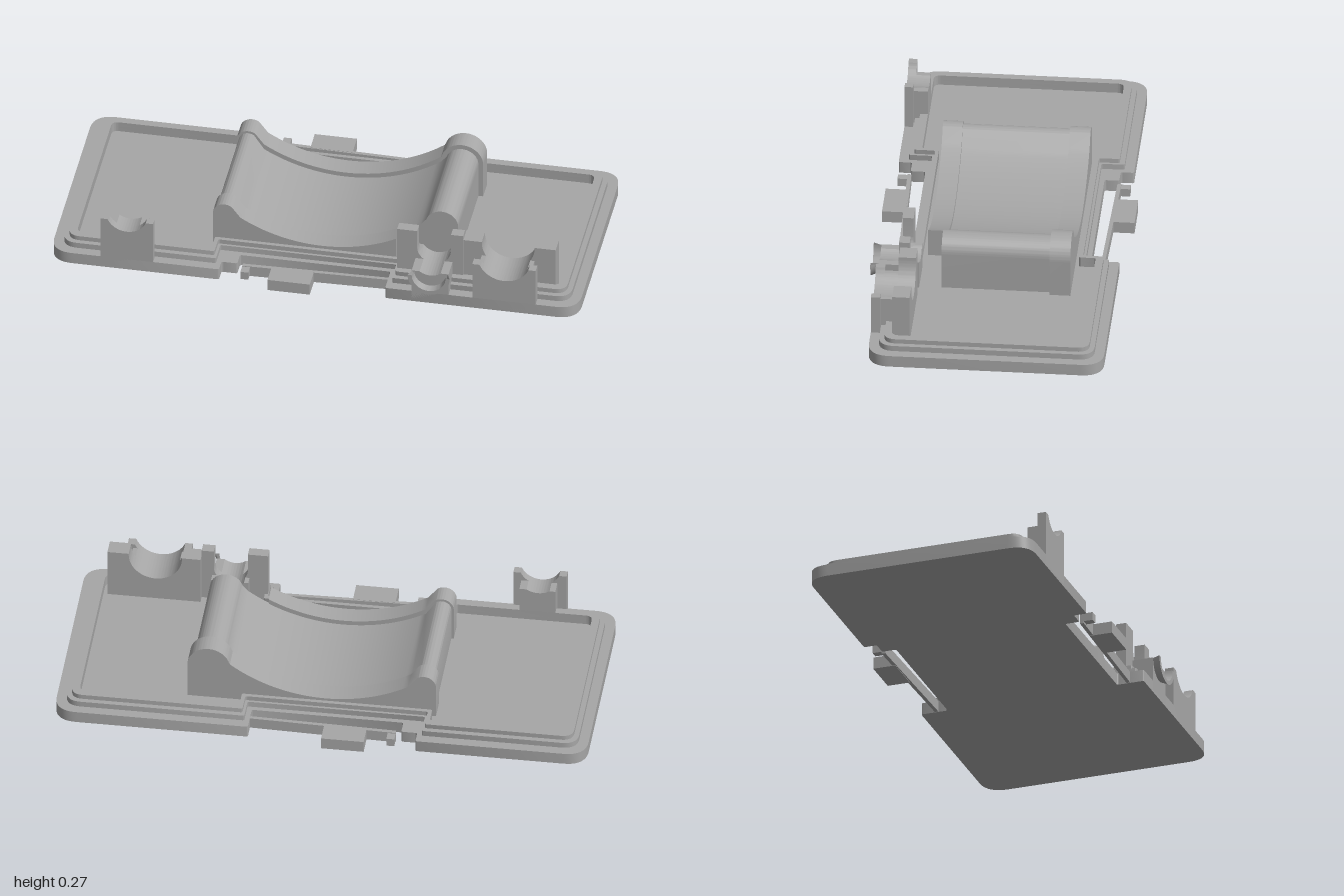
import * as THREE from 'three';
import { toCreasedNormals } from 'three/addons/utils/BufferGeometryUtils.js';

const grey = new THREE.MeshStandardMaterial({ color: 0xa6a6a6, side: THREE.DoubleSide });
grey.name = 'plain grey';

function add(group, name, geometry) {
  const mesh = new THREE.Mesh(toCreasedNormals(geometry, 0.5), grey);
  mesh.name = name;
  group.add(mesh);
  return mesh;
}

function box(group, name, x0, x1, y0, y1, z0, z1) {
  const g = new THREE.BoxGeometry(x1 - x0, y1 - y0, z1 - z0);
  g.translate((x0 + x1) / 2, (y0 + y1) / 2, (z0 + z1) / 2);
  add(group, name, g);
}

// Closed path through [x, y, cornerRadius] points
function roundedPath(points, path) {
  const n = points.length;
  points.forEach(([x, y, r], i) => {
    const toward = ([px, py]) => {
      const l = Math.hypot(px - x, py - y);
      return [x + (px - x) * r / l, y + (py - y) * r / l];
    };
    const a = toward(points[(i + n - 1) % n]), b = toward(points[(i + 1) % n]);
    if (i === 0) path.moveTo(...a); else path.lineTo(...a);
    if (r > 0) path.quadraticCurveTo(x, y, ...b);
  });
  path.closePath();
  return path;
}

// Waisted plan outline, inset by d
function outline(d, path) {
  const X = 1 - d, Z = 0.44 - d, h = d / 2, R = 0.085 - d * 0.7;
  const waist = 0.335 - h, left = -0.36 - h, right = 0.27 + h, c = 0.008;
  const half = [[X, Z, R], [right, Z, c], [right, waist, c]];
  if (d === 0) half.push([-0.3, waist, c], [-0.3, 0.39, c], [left, 0.39, c]);
  else half.push([left, waist, c]);
  half.push([left, Z, c], [-X, Z, R]);
  const other = half.map(([x, z, r]) => [x, -z, r]).reverse();
  return roundedPath([...half, ...other], path);
}

// Plan shape extruded between two heights
function slab(group, name, shape, y0, y1) {
  const g = new THREE.ExtrudeGeometry(shape, { depth: y1 - y0, bevelEnabled: false, curveSegments: 10 });
  g.rotateX(Math.PI / 2);
  g.translate(0, y1, 0);
  add(group, name, g);
}

// Front-facing shape extruded along z
function extrudeZ(group, name, shape, z0, z1) {
  const g = new THREE.ExtrudeGeometry(shape, { depth: z1 - z0, bevelEnabled: false, curveSegments: 28 });
  g.translate(0, 0, z0);
  add(group, name, g);
}

// Block with a round notch in its top
function cradle(group, name, x0, x1, top, cx, cy, r, z0, z1) {
  const a = Math.asin(Math.min(0, (top - cy) / r));
  const s = new THREE.Shape();
  s.moveTo(x0, 0.01);
  s.lineTo(x1, 0.01);
  s.lineTo(x1, top);
  s.lineTo(cx + r * Math.cos(a), top);
  s.absarc(cx, cy, r, a, -Math.PI - a, true);
  s.lineTo(cx - r * Math.cos(a), top);
  s.lineTo(x0, top);
  s.closePath();
  extrudeZ(group, name, s, z0, z1);
}

// Saddle section: rounded crest at each end, sweeping hollow between; t lowers the skin
function saddleShape(t, xEnd) {
  const s = new THREE.Shape();
  const R = 0.595 + t, cy = 0.68;
  const hollow = x => cy - Math.sqrt(R * R - x * x);
  s.moveTo(-0.415 + t / 2, 0.03);
  s.lineTo(-0.415 + t / 2, 0.18);
  s.absarc(-0.37, 0.18, 0.045 - t / 2, Math.PI, Math.PI * 0.3, true);
  const end = Math.min(xEnd, 0.36);
  for (let i = 0; i <= 32; i++) {
    const x = -0.31 + (end + 0.31) * i / 32;
    s.lineTo(x, hollow(x));
  }
  if (xEnd > 0.4) {
    s.absarc(0.44, 0.19, 0.08 - t, Math.PI * 0.9, 0, true);
    s.lineTo(0.52 - t, 0.03);
  } else s.lineTo(end, 0.03);
  s.closePath();
  return s;
}

export function createModel() {
  const model = new THREE.Group();
  model.name = 'waistedCover';

  // Base plate and stepped rim
  slab(model, 'basePlate', outline(0, new THREE.Shape()), 0, 0.046);
  [[0.037, 0.04, 0.068, 'lowerRim'], [0.056, 0.06, 0.086, 'upperRim']].forEach(([d, y0, y1, name]) => {
    const ring = outline(d, new THREE.Shape());
    ring.holes.push(outline(0.085, new THREE.Path()));
    slab(model, name, ring, y0, y1);
  });

  // Saddle with raised flanges front and back
  extrudeZ(model, 'saddleBackFlange', saddleShape(0, 0.52), -0.278, -0.2);
  extrudeZ(model, 'saddleBody', saddleShape(0.018, 0.52), -0.21, 0.205);
  extrudeZ(model, 'saddleFrontFlange', saddleShape(0, 0.28), 0.2, 0.274);

  // Spring clips on both long sides
  for (const s of [1, -1]) {
    const clip = new THREE.Group();
    clip.name = s > 0 ? 'frontClip' : 'backClip';
    const arm = new THREE.Shape();
    [[0.28, 0.372], [0.28, 0.386], [-0.28, 0.4], [-0.28, 0.385]].forEach(([x, z], i) =>
      i ? arm.lineTo(x, z * s) : arm.moveTo(x, z * s));
    arm.closePath();
    slab(clip, 'clipArm', arm, 0.002, 0.045);
    const span = (a, b) => s > 0 ? [a, b] : [-b, -a];
    box(clip, 'clipTab', -0.17, -0.01, 0, 0.046, ...span(0.385, 0.472));
    box(clip, 'clipNub', -0.28, -0.25, 0.01, 0.042, ...span(0.39, 0.435));
    model.add(clip);
  }

  // Single cradle on the right-hand end
  cradle(model, 'smallCradleFront', -0.81, -0.61, 0.22, -0.71, 0.25, 0.078, 0.408, 0.44);
  cradle(model, 'smallCradleRear', -0.775, -0.64, 0.185, -0.71, 0.25, 0.078, 0.355, 0.41);

  // Wide cradle on the left-hand end
  cradle(model, 'wideCradleRear', 0.55, 0.9, 0.243, 0.72, 0.238, 0.1, 0.29, 0.355);
  cradle(model, 'wideCradleMiddle', 0.62, 0.82, 0.183, 0.72, 0.238, 0.1, 0.35, 0.41);
  cradle(model, 'wideCradleFront', 0.6, 0.84, 0.2, 0.72, 0.238, 0.1, 0.405, 0.44);

  // Tall bracket with a flared half-round spout
  cradle(model, 'spoutBracket', 0.3, 0.55, 0.264, 0.44, 0.19, 0.064, 0.32, 0.36);
  cradle(model, 'spoutBracketRear', 0.37, 0.51, 0.155, 0.44, 0.19, 0.064, 0.288, 0.322);
  cradle(model, 'spoutSupport', 0.37, 0.51, 0.14, 0.44, 0.19, 0.064, 0.355, 0.44);
  const section = [[0.066, 0.4], [0.066, 0.44], [0.08, 0.47], [0.064, 0.47], [0.055, 0.4], [0.066, 0.4]];
  const spout = new THREE.LatheGeometry(section.map(p => new THREE.Vector2(...p)), 24, -Math.PI / 2, Math.PI);
  spout.rotateX(Math.PI / 2);
  spout.translate(0.44, 0.14, 0);
  add(model, 'flaredSpout', spout);

  return model;
}
